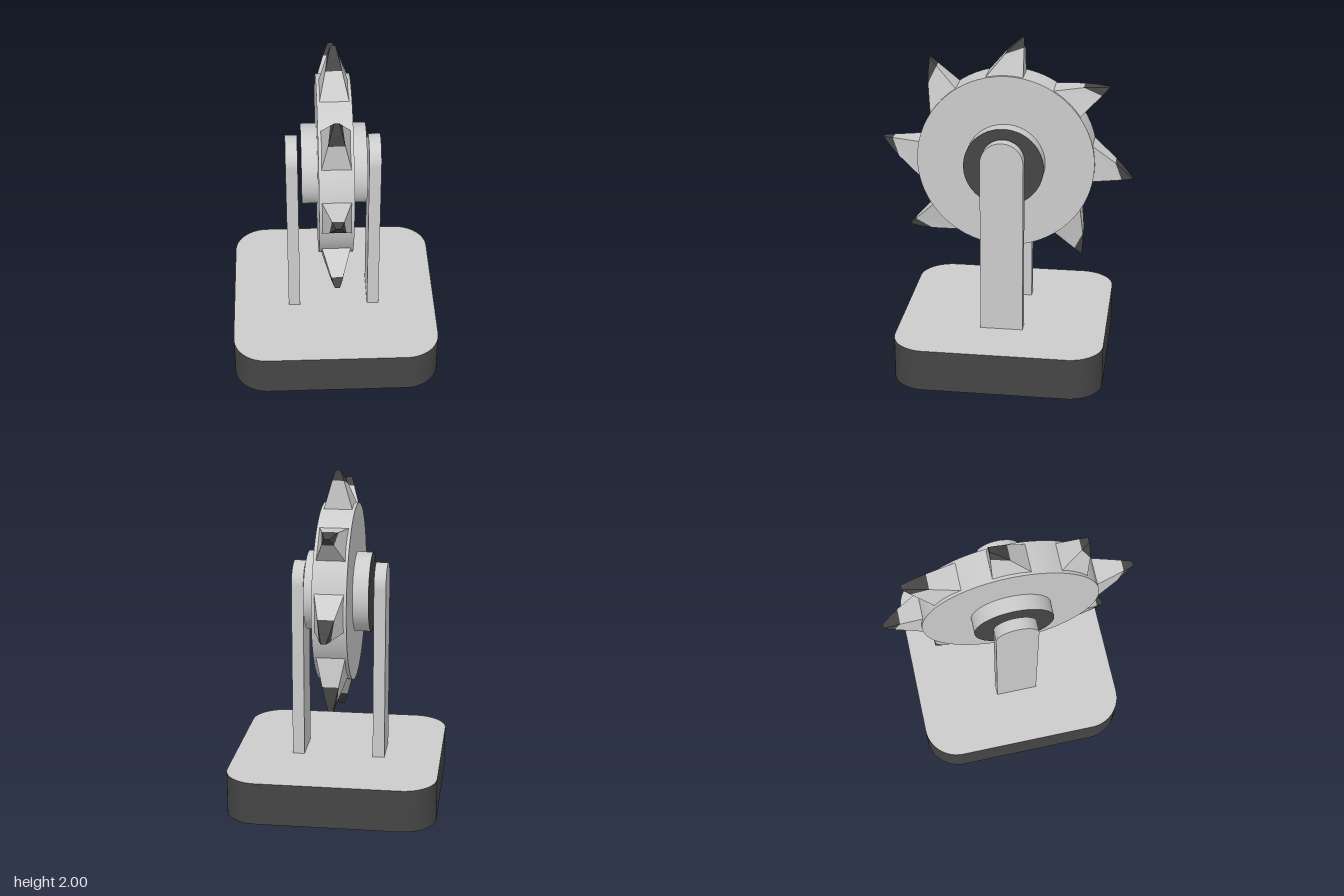
import * as THREE from 'three';

const light = new THREE.MeshStandardMaterial({ color: 0xcccccc, side: THREE.DoubleSide });
light.name = 'lightGrey';
const dark = new THREE.MeshStandardMaterial({ color: 0x454545, side: THREE.DoubleSide });
dark.name = 'darkGrey';

const AXLE_Y = 1.265;

function add(parent, name, geometry, material) {
  const mesh = new THREE.Mesh(geometry, material);
  mesh.name = name;
  parent.add(mesh);
  return mesh;
}

// Square outline with rounded corners
function roundedSquare(half, r) {
  const s = new THREE.Shape();
  const c = half - r;
  [[c, c], [-c, c], [-c, -c], [c, -c]].forEach(([x, y], i) =>
    s.absarc(x, y, r, i * Math.PI / 2, (i + 1) * Math.PI / 2, false));
  s.closePath();
  return s;
}

// Open wall that follows an outline between two heights
function wallGeometry(shape, y0, y1, segments) {
  let pts = shape.getPoints(segments);
  pts = pts.filter((p, i) => p.distanceTo(pts[(i + 1) % pts.length]) > 1e-5);
  const pos = [], idx = [], n = pts.length;
  pts.forEach((p, i) => {
    pos.push(p.x, y0, -p.y, p.x, y1, -p.y);
    const a = 2 * i, b = 2 * ((i + 1) % n);
    idx.push(a, b, b + 1, a, b + 1, a + 1);
  });
  const g = new THREE.BufferGeometry();
  g.setAttribute('position', new THREE.Float32BufferAttribute(pos, 3));
  g.setIndex(idx);
  g.computeVertexNormals();
  return g;
}

// Flat-sided loft; each section is [zCurved, yCurved, halfWidth, zStraight, yStraight, halfWidth]
function loft(sections) {
  const rings = sections.map(([za, ya, wa, zb, yb, wb]) =>
    [[-wa, ya, za], [wa, ya, za], [wb, yb, zb], [-wb, yb, zb]]);
  const pos = [];
  for (let i = 0; i < rings.length - 1; i++) {
    for (let k = 0; k < 4; k++) {
      const m = (k + 1) % 4, p = rings[i], q = rings[i + 1];
      pos.push(...p[k], ...p[m], ...q[m], ...p[k], ...q[m], ...q[k]);
    }
  }
  const g = new THREE.BufferGeometry();
  g.setAttribute('position', new THREE.Float32BufferAttribute(pos, 3));
  g.computeVertexNormals();
  return g;
}

// Disc on the x axis
function disc(radius, width) {
  return new THREE.CylinderGeometry(radius, radius, width, 64).rotateZ(Math.PI / 2);
}

export function createModel() {
  const model = new THREE.Group();
  model.name = 'toothedWheelOnStand';

  // Hollow base: light top plate, dark skirt open underneath
  const base = new THREE.Group();
  base.name = 'base';
  model.add(base);
  const outline = roundedSquare(0.614, 0.2);
  add(base, 'baseSkirt', wallGeometry(outline, 0.025, 0.277, 8), dark);
  const top = new THREE.ShapeGeometry(outline, 8).rotateX(-Math.PI / 2);
  add(base, 'baseTop', top, light).position.y = 0.277;

  // Two round-topped posts passing through the base
  const postShape = new THREE.Shape();
  postShape.moveTo(-0.125, 0);
  postShape.lineTo(0.125, 0);
  postShape.absarc(0, 1.315, 0.125, 0, Math.PI, false);
  postShape.closePath();
  const postGeo = new THREE.ExtrudeGeometry(postShape, { depth: 0.07, bevelEnabled: false, curveSegments: 24 });
  postGeo.rotateY(Math.PI / 2);
  add(model, 'leftPost', postGeo, light).position.x = 0.201;
  add(model, 'rightPost', postGeo, light).position.x = -0.28;

  // Wheel and hub with dark end faces
  const wheel = new THREE.Group();
  wheel.name = 'wheel';
  wheel.position.y = AXLE_Y;
  model.add(wheel);
  add(wheel, 'wheelDisc', disc(0.518, 0.196), light);
  add(wheel, 'hub', disc(0.233, 0.376), [light, dark, dark]).position.x = -0.002;

  // Eight hooked teeth, each a light root with a dark tip
  const rootGeo = loft([
    [0.128, 0.49, 0.087, -0.1, 0.49, 0.087],
    [0.008, 0.635, 0.047, -0.1, 0.673, 0.034],
  ]);
  const tipGeo = loft([
    [0.008, 0.635, 0.047, -0.1, 0.673, 0.034],
    [-0.045, 0.688, 0.031, -0.1, 0.704, 0.025],
    [-0.1, 0.735, 0.014, -0.1, 0.735, 0.014],
  ]);
  for (let i = 0; i < 8; i++) {
    const tooth = new THREE.Group();
    tooth.name = 'tooth' + (i + 1);
    tooth.rotation.x = i * Math.PI / 4;
    add(tooth, 'toothRoot', rootGeo, light);
    add(tooth, 'toothTip', tipGeo, dark);
    wheel.add(tooth);
  }
  return model;
}
